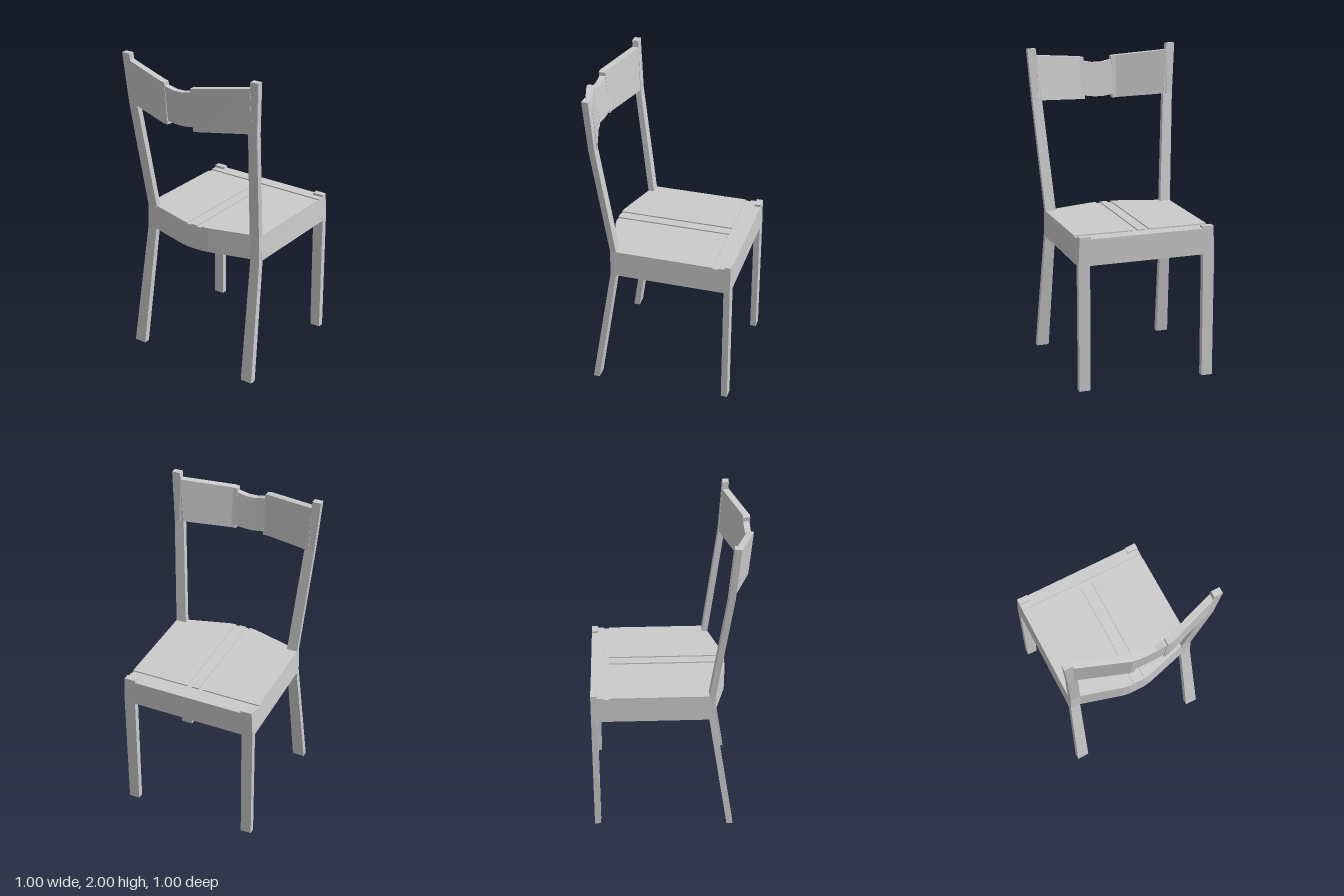
import * as THREE from 'three';

const material = new THREE.MeshStandardMaterial({ color: 0xcccccc, flatShading: true });

// Closed solid through rings of equal point count; faces are turned outward by signed volume
function loft(name, rings) {
  const n = rings[0].length, last = (rings.length - 1) * n;
  const pts = rings.flat().map(p => new THREE.Vector3(...p));
  let tris = [];
  for (let r = 0; r < last; r += n)
    for (let i = 0; i < n; i++) {
      const j = (i + 1) % n;
      tris.push([r + i, r + j, r + n + j], [r + i, r + n + j, r + n + i]);
    }
  for (let i = 1; i < n - 1; i++) tris.push([0, i + 1, i], [last, last + i, last + i + 1]);
  const volume = tris.reduce((v, [a, b, c]) =>
    v + pts[a].dot(new THREE.Vector3().crossVectors(pts[b], pts[c])), 0);
  if (volume < 0) tris = tris.map(([a, b, c]) => [a, c, b]);
  const geometry = new THREE.BufferGeometry().setFromPoints(tris.flat().map(i => pts[i]));
  geometry.computeVertexNormals();
  const mesh = new THREE.Mesh(geometry, material);
  mesh.name = name;
  return mesh;
}

// Horizontal rectangle ring, mirrored by side s
const rect = (s, y, x0, x1, z0, z1) =>
  [[s * x0, y, z0], [s * x1, y, z0], [s * x1, y, z1], [s * x0, y, z1]];

// Upright prism over an [x, z] outline, with separate width scale at the base
const prism = (name, outline, y0, y1, flare = 1) =>
  loft(name, [outline.map(([x, z]) => [x * flare, y0, z]), outline.map(([x, z]) => [x, y1, z])]);

// Bowed rear edge of the seat, from the right side to the left
const half = [[0.432, 0.245], [0.36, 0.27], [0.1, 0.345], [0.05, 0.353]];
const rear = [...half, ...half.map(([x, z]) => [-x, z]).reverse()];

// Backrest cross-section: top and bottom heights, top depth range; the bottom leans forward
const slice = (x, top, bottom, z0, z1) =>
  [[x, top, z0], [x, top, z1], [x, bottom, z1 - 0.025], [x, bottom, z0 - 0.025]];

export function createModel() {
  const chair = new THREE.Group();
  chair.name = 'chair';

  // Seat slab, with raised boards leaving shallow grooves between them
  const seat = new THREE.Group();
  seat.name = 'seat';
  const yGroove = 0.957, yTop = 0.965;
  seat.add(prism('seatSlab', [[-0.432, -0.5], ...rear.slice().reverse(), [0.432, -0.5]], 0.8, yGroove, 1.02));
  seat.add(prism('frontBoard', [[-0.432, -0.5], [0.432, -0.5], [0.432, -0.42], [-0.432, -0.42]], yGroove, yTop));
  seat.add(prism('centreStrip', [[-0.025, -0.385], [0.022, -0.385], [0.022, 0.353], [-0.025, 0.353]], yGroove, yTop));
  for (const s of [-1, 1]) {
    const outline = [[0.432, -0.385], ...half.slice(0, 3), [0.053, 0.353], [0.053, -0.385]];
    seat.add(prism(s < 0 ? 'rightBoard' : 'leftBoard', outline.map(([x, z]) => [s * x, z]), yGroove, yTop));
  }
  chair.add(seat);

  for (const s of [-1, 1]) {
    const side = s < 0 ? 'right' : 'left';
    // Straight front leg, its end standing proud of the seat
    chair.add(loft(side + 'FrontLeg', [
      rect(s, 0, 0.37, 0.44, -0.5, -0.46),
      rect(s, 0.8, 0.367, 0.44, -0.5, -0.46),
      rect(s, 0.98, 0.36, 0.432, -0.5, -0.46),
    ]));
    // Bent rear leg running up into the back post
    chair.add(loft(side + 'RearLegAndPost', [
      rect(s, 0, 0.39, 0.47, 0.355, 0.395),
      rect(s, 0.8, 0.37, 0.436, 0.232, 0.27),
      rect(s, 0.965, 0.363, 0.432, 0.232, 0.27),
      rect(s, 1.67, 0.415, 0.478, 0.332, 0.37),
      rect(s, 2, 0.445, 0.5, 0.355, 0.395),
    ]));
    // Angled outer panel of the backrest
    chair.add(loft(side + 'BackrestPanel', [
      slice(s * 0.442, 1.957, 1.673, 0.352, 0.395),
      slice(s * 0.125, 1.922, 1.648, 0.455, 0.5),
      slice(s * 0.095, 1.918, 1.645, 0.457, 0.5),
    ]));
  }

  // Narrower middle of the backrest
  chair.add(loft('backrestCentre', [
    slice(-0.1, 1.895, 1.67, 0.457, 0.495),
    slice(-0.03, 1.88, 1.66, 0.457, 0.495),
    slice(0.03, 1.88, 1.66, 0.457, 0.495),
    slice(0.1, 1.895, 1.67, 0.457, 0.495),
  ]));
  return chair;
}
